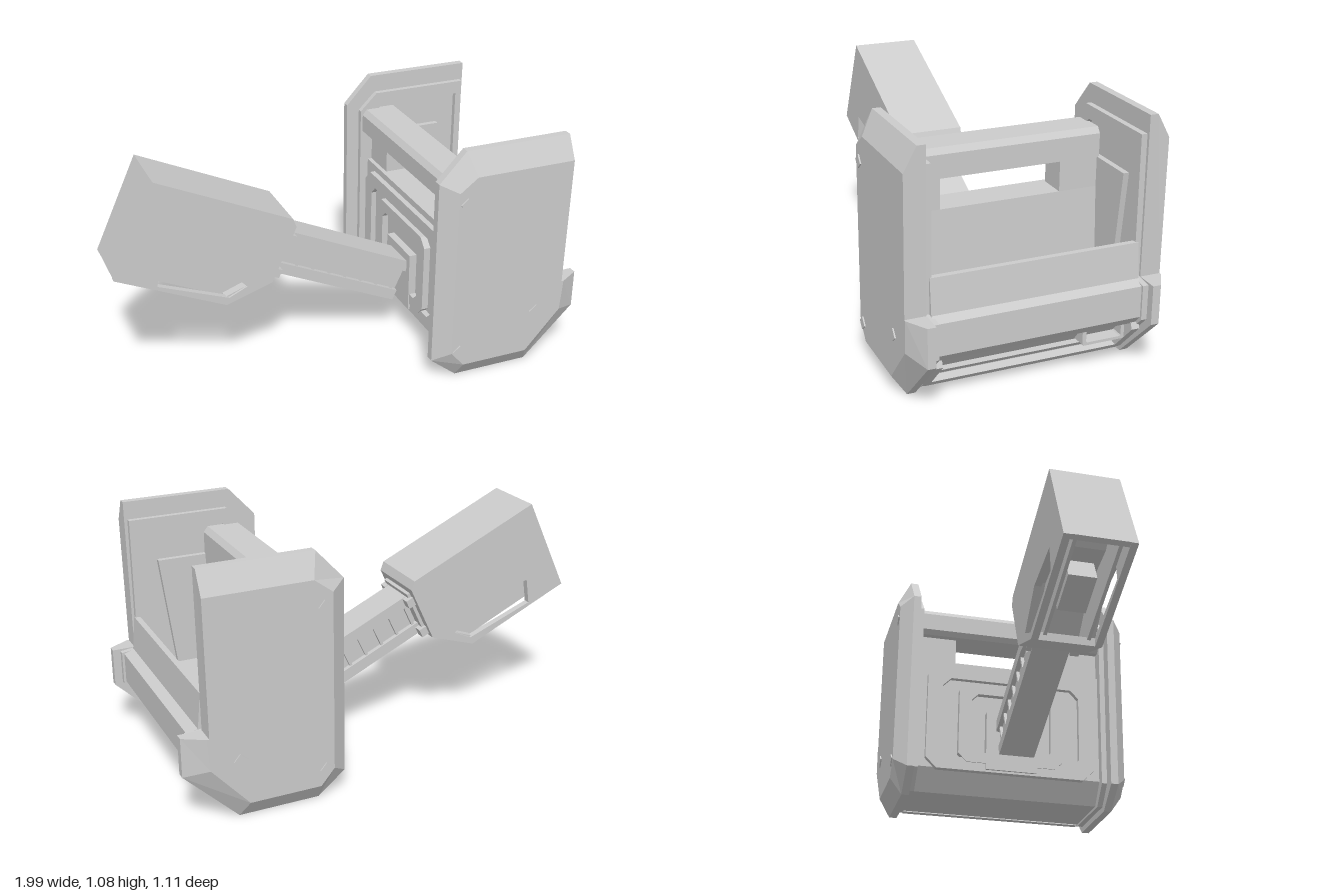
import * as THREE from 'three';

const grey = new THREE.MeshStandardMaterial({ color: 0xcccccc, flatShading: true, side: THREE.DoubleSide });

function add(parent, name, geometry, x = 0, y = 0, z = 0) {
  const mesh = new THREE.Mesh(geometry, grey);
  mesh.name = name;
  mesh.position.set(x, y, z);
  parent.add(mesh);
  return mesh;
}

// Box given by its lower and upper corners
function block(parent, name, [x0, y0, z0], [x1, y1, z1]) {
  const g = new THREE.BoxGeometry(x1 - x0, y1 - y0, z1 - z0);
  return add(parent, name, g, (x0 + x1) / 2, (y0 + y1) / 2, (z0 + z1) / 2);
}

const vecs = pts => pts.map(p => new THREE.Vector2(...p));

// Flat outline, optionally pierced, extruded from z0 to z1
function slab(outline, z0, z1, holes = []) {
  const shape = new THREE.Shape(vecs(outline));
  holes.forEach(h => shape.holes.push(new THREE.Path(vecs(h))));
  const g = new THREE.ExtrudeGeometry(shape, { depth: z1 - z0, bevelEnabled: false });
  return g.translate(0, 0, z0);
}

// Rectangle from (a0, y0) to (a1, y1) with corners cut by c
const rect = (a0, a1, y0, y1, c) => [[a0, y0 + c], [a0 + c, y0], [a1 - c, y0], [a1, y0 + c],
  [a1, y1 - c], [a1 - c, y1], [a0 + c, y1], [a0, y1 - c]];

// Skin between counter-clockwise outlines at rising z, with capped ends
function loft(sections) {
  const pos = [], index = [], n = sections[0].pts.length;
  sections.forEach(s => s.pts.forEach(p => pos.push(p[0], p[1], s.z)));
  for (let s = 0; s < sections.length - 1; s++) {
    for (let i = 0; i < n; i++) {
      const a = s * n + i, b = s * n + (i + 1) % n;
      index.push(a, b, b + n, a, b + n, a + n);
    }
  }
  const last = (sections.length - 1) * n;
  THREE.ShapeUtils.triangulateShape(vecs(sections[0].pts), []).forEach(([a, b, c]) => index.push(a, c, b));
  THREE.ShapeUtils.triangulateShape(vecs(sections[sections.length - 1].pts), [])
    .forEach(([a, b, c]) => index.push(last + a, last + b, last + c));
  const g = new THREE.BufferGeometry();
  g.setAttribute('position', new THREE.Float32BufferAttribute(pos, 3));
  g.setIndex(index);
  g.computeVertexNormals();
  return g;
}

// Chamfered side plates with inner frame and bolts
function sidePlate(side) {
  const plate = new THREE.Group();
  plate.name = side > 0 ? 'leftSidePlate' : 'rightSidePlate';
  const rim = [[0.3, 0.1], [0.42, 0.003], [0.77, 0.003], [1, 0.23], [1, 0.4], [0.9, 0.4], [0.905, 1.08], [0.42, 1.08], [0.3, 0.95]];
  const face = [[0.37, 0.15], [0.43, 0.08], [0.74, 0.08], [0.9, 0.26], [0.91, 0.4], [0.9, 0.4], [0.905, 0.98], [0.45, 0.98], [0.37, 0.92]];
  const sections = [{ z: 0.46, pts: rim }, { z: 0.495, pts: rim }, { z: 0.549, pts: face }]
    .map(s => ({ z: s.z * side, pts: s.pts })).sort((a, b) => a.z - b.z);
  add(plate, 'platePanel', loft(sections));

  const zs = [0.435 * side, 0.465 * side].sort((a, b) => a - b);
  const outer = [[0.36, 0.12], [0.44, 0.03], [0.76, 0.03], [0.965, 0.24], [0.965, 0.39], [0.89, 0.4], [0.89, 1], [0.44, 1], [0.36, 0.92]];
  const inner = [[0.42, 0.15], [0.46, 0.1], [0.74, 0.1], [0.86, 0.25], [0.86, 0.94], [0.47, 0.94], [0.42, 0.89]];
  add(plate, 'innerFrame', slab(outer, ...zs, [inner]));
  add(plate, 'sideLining', slab([[0.5, 0.25], [0.7, 0.25], [0.77, 0.8], [0.5, 0.8]], ...zs));

  for (const [x, y] of [[0.405, 0.865], [0.405, 0.155], [0.775, 0.28]]) {
    add(plate, 'plateBolt', new THREE.BoxGeometry(0.042, 0.042, 0.02), x, y, 0.545 * side).rotation.z = 0.7;
  }
  return plate;
}

// Open bin with thick back wall, upper crossbar and window
function bin() {
  const g = new THREE.Group();
  g.name = 'bin';
  const W = 0.445;
  add(g, 'binShell', slab([[0.4, 0.14], [0.47, 0.04], [0.77, 0.04], [0.775, 0.085], [0.87, 0.2], [0.92, 0.21],
    [0.955, 0.25], [0.955, 0.385], [0.91, 0.4], [0.895, 0.55], [0.87, 0.55], [0.79, 0.3], [0.57, 0.3],
    [0.55, 0.67], [0.4, 0.67]], -W, W));
  add(g, 'crossbar', slab([[0.37, 0.82], [0.39, 0.8], [0.55, 0.8], [0.55, 0.9], [0.53, 0.925], [0.39, 0.925], [0.37, 0.9]], -W, W));

  // Window posts and the ends of the sloping lower recess
  for (const s of [-1, 1]) {
    block(g, 'windowPost', [0.42, 0.66, s * 0.355 - 0.09], [0.55, 0.81, s * 0.355 + 0.09]);
    const ends = [0.41 * s, W * s].sort((a, b) => a - b);
    add(g, 'recessEnd', slab([[0.76, 0.04], [0.795, 0.04], [0.94, 0.19], [0.93, 0.215], [0.85, 0.21]], ...ends));
  }
  add(g, 'lowerLip', slab([[0.76, 0.035], [0.79, 0.035], [0.815, 0.062], [0.77, 0.07]], -0.43, 0.43));
  add(g, 'recessRib', slab([[0.77, 0.1], [0.82, 0.1], [0.84, 0.122], [0.78, 0.122]], -0.41, 0.41));

  // Pierced frames facing along x: the lamp, then the stepped rear frames
  const framed = (name, outline, hole, x0, x1) =>
    add(g, name, slab(outline, x0, x1, [hole]).rotateY(Math.PI / 2));
  framed('lampFrame', rect(0.22, 0.41, 0.125, 0.2, 0.005), rect(0.237, 0.395, 0.137, 0.188, 0.005), 0.8, 0.88);
  framed('rearFrame', rect(-0.4, 0.4, 0.13, 0.64, 0.05), rect(-0.33, 0.33, 0.19, 0.58, 0.04), 0.375, 0.405);
  framed('rearInnerFrame', rect(-0.25, 0.25, 0.17, 0.56, 0.04), rect(-0.19, 0.19, 0.22, 0.51, 0.03), 0.37, 0.405);
  block(g, 'armMount', [0.365, 0.14, -0.12], [0.42, 0.42, 0.12]);
  return g;
}

// Sloping boom: local x points down the slope, local origin at the head's upper corner
function boom() {
  const g = new THREE.Group();
  g.name = 'boom';
  g.position.set(-0.21, 0.735, 0.008);
  g.rotation.z = -0.434;

  block(g, 'armCore', [0, -0.26, -0.06], [0.69, -0.1, 0.06]);
  block(g, 'armTopRail', [0, -0.13, -0.082], [0.69, -0.08, 0.082]);
  block(g, 'armBottomRail', [0, -0.28, -0.082], [0.69, -0.23, 0.082]);
  for (let i = 0; i < 8; i++) {
    const x = 0.06 + i * 0.085;
    block(g, 'armRung', [x, -0.235, -0.074], [x + 0.012, -0.125, 0.074]);
  }

  // Head: notched cheeks with recessed linings around a core, hollow underneath
  const H = 0.15;
  const outline = [[0, 0], [-0.655, 0], [-0.655, -0.452], [-0.132, -0.45], [0.03, -0.3], [0.03, -0.03]];
  const notch = [[-0.498, -0.325], [-0.269, -0.275], [-0.075, -0.345], [-0.135, -0.415], [-0.465, -0.435]];
  const lining = [[-0.64, -0.22], [-0.64, -0.43], [-0.13, -0.43], [0, -0.3], [0, -0.22]];
  for (const s of [-1, 1]) {
    const span = (a, b) => [a * s, b * s].sort((p, q) => p - q);
    add(g, 'headCheek', slab(outline, ...span(H - 0.03, H), [notch]));
    add(g, 'headLining', slab(lining, ...span(0.085, 0.1)));
  }
  add(g, 'headCore', slab([[0, 0], [-0.655, 0], [-0.655, -0.24], [-0.5, -0.3], [-0.27, -0.25], [-0.06, -0.33],
    [0.03, -0.3], [0.03, -0.03]], -H + 0.01, H - 0.01));
  block(g, 'headEnd', [-0.655, -0.45, -H + 0.01], [-0.63, -0.2, H - 0.01]);
  add(g, 'headLowerSlope', slab([[-0.132, -0.45], [0.03, -0.3], [-0.02, -0.29], [-0.15, -0.42]], -H + 0.01, H - 0.01));
  block(g, 'headInsert', [-0.42, -0.38, -0.06], [-0.24, -0.25, 0.06]);

  // Collar and bolts joining head and arm
  block(g, 'headCollar', [0.01, -0.29, -0.11], [0.045, -0.06, 0.11]);
  for (const s of [-1, 1]) {
    for (const y of [-0.1, -0.265]) {
      block(g, 'collarBolt', [0.025, y - 0.02, s * 0.105 - 0.02], [0.065, y + 0.02, s * 0.105 + 0.02]);
    }
  }
  return g;
}

export function createModel() {
  const model = new THREE.Group();
  model.name = 'boomMountedBin';
  model.add(sidePlate(1), sidePlate(-1), bin(), boom());
  return model;
}
